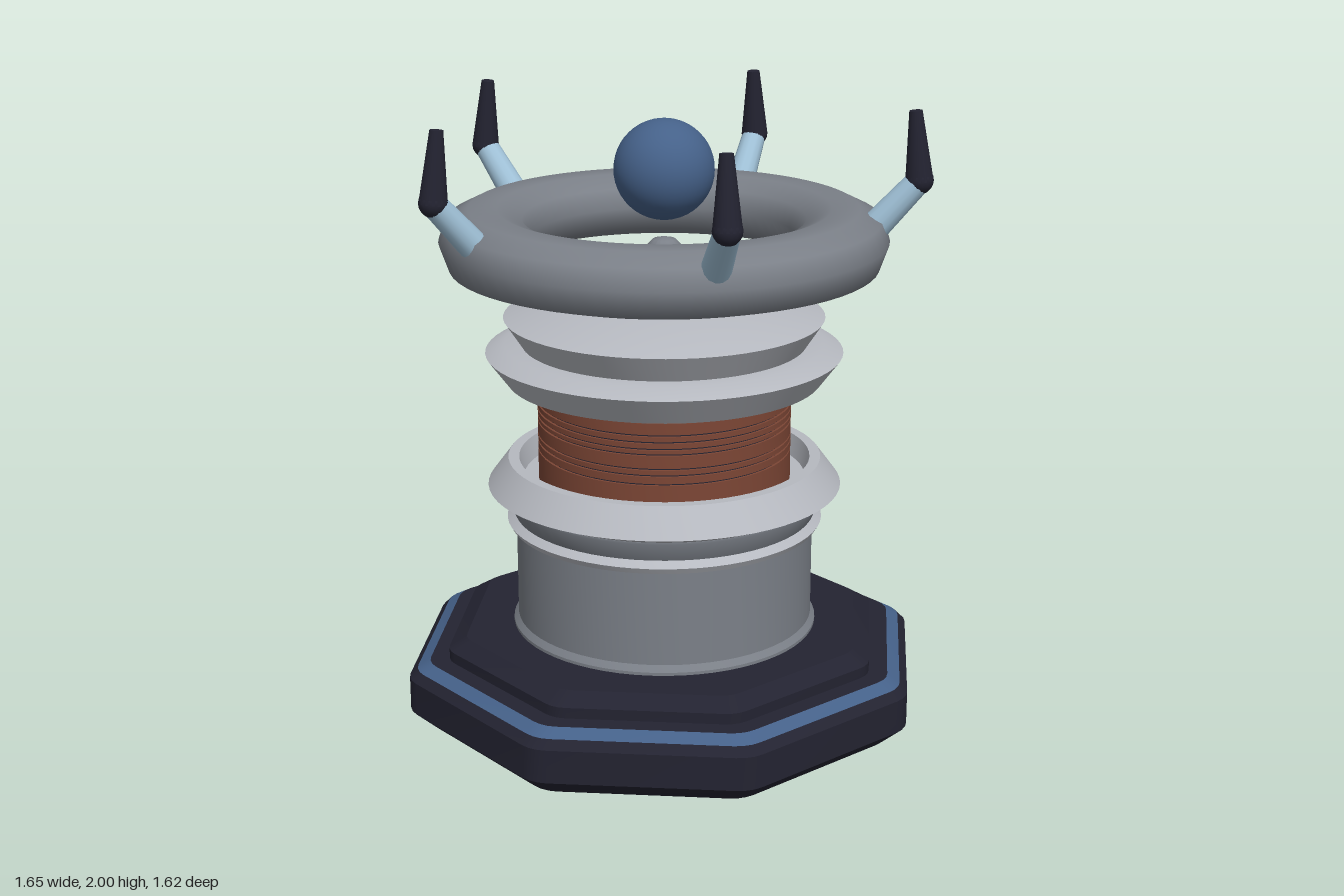
import * as THREE from 'three';
import { toCreasedNormals } from 'three/addons/utils/BufferGeometryUtils.js';

const material = (name, color) => {
  const m = new THREE.MeshStandardMaterial({ color });
  m.name = name;
  return m;
};

export function createModel() {
  const dark = material('dark casing', 0x232331);
  const blue = material('blue', 0x456189);
  const grey = material('grey metal', 0x7b8088);
  const light = material('light metal', 0xb6b9c0);
  const copper = material('copper', 0x7c4635);
  const ice = material('pale blue', 0x9fc0d6);

  const model = new THREE.Group();
  model.name = 'energyPylon';
  const body = new THREE.Group();
  body.name = 'body';
  body.position.x = -0.02;
  model.add(body);

  const add = (name, geometry, mat, parent = body) => {
    const mesh = new THREE.Mesh(geometry, mat);
    mesh.name = name;
    parent.add(mesh);
    return mesh;
  };

  // Turned part; profile runs up the outside as [radius, y]
  const turned = (name, profile, mat, crease = 0.45) => {
    const g = new THREE.LatheGeometry(profile.map(([r, y]) => new THREE.Vector2(r, y)), 64);
    return add(name, toCreasedNormals(g, crease), mat);
  };

  // Octagonal part with rounded corners; profile is [half width, y]
  const octagonal = (name, profile, mat) => {
    const pos = [], index = [], steps = 3, n = 8 * (steps + 1);
    for (const [a, y] of profile) {
      const r = a * 0.14, core = (a - r) / Math.cos(Math.PI / 8);
      for (let c = 0; c < 8; c++) {
        const t = (c + 0.5) * Math.PI / 4;
        for (let s = 0; s <= steps; s++) {
          const u = t + (s / steps - 0.5) * Math.PI / 4;
          pos.push(core * Math.cos(t) + r * Math.cos(u), y, -core * Math.sin(t) - r * Math.sin(u));
        }
      }
    }
    for (let j = 0; j < profile.length - 1; j++) {
      for (let i = 0; i < n; i++) {
        const a = j * n + i, b = j * n + (i + 1) % n;
        index.push(a, b, b + n, a, b + n, a + n);
      }
    }
    const g = new THREE.BufferGeometry();
    g.setAttribute('position', new THREE.Float32BufferAttribute(pos, 3));
    g.setIndex(index);
    return add(name, toCreasedNormals(g, 0.4), mat);
  };

  // Stepped base with a blue trim
  octagonal('base', [[0, 0], [0.745, 0], [0.81, 0.06], [0.81, 0.17], [0.785, 0.197]], dark);
  octagonal('baseTrim', [[0.785, 0.197], [0.745, 0.22]], blue);
  octagonal('baseStep', [[0.745, 0.22], [0.685, 0.22], [0.685, 0.255], [0.63, 0.29], [0, 0.29]], dark);

  // Column and collar
  turned('column', [[0.502, 0.29], [0.502, 0.30], [0.487, 0.32], [0.487, 0.66]], grey);
  turned('collar', [[0.487, 0.635], [0.505, 0.635], [0.517, 0.655], [0.49, 0.675]], light);
  turned('neck', [[0.487, 0.665], [0.495, 0.68], [0.517, 0.735], [0.517, 0.742], [0.44, 0.742]], grey);

  // Facing pair of hollow coil rings
  const lower = [[0.41, 0.742], [0.515, 0.742], [0.577, 0.77], [0.51, 0.86], [0.475, 0.86], [0.46, 0.79], [0.40, 0.79]];
  turned('lowerCoilRing', lower, light);
  turned('upperCoilRing', lower.map(([r, y]) => [r, 1.985 - y]).reverse(), light);

  // Copper winding: bands over a dark core
  turned('coilCore', [[0.404, 0.76], [0.404, 1.23]], dark);
  const edges = [0.77, 0.893, 0.922, 0.943, 0.99, 1.008, 1.03, 1.052, 1.095];
  for (let i = 0; i < edges.length - 1; i++) {
    const y0 = edges[i] + 0.003, y1 = edges[i + 1] - 0.003;
    turned('copperBand', [[0.403, y0], [0.412, y0], [0.412, y1], [0.403, y1]], copper);
  }
  turned('coilCap', [[0.403, 1.098], [0.412, 1.098], [0.412, 1.23]], dark);

  // Top cap and post
  turned('topCap', [[0.40, 1.243], [0.46, 1.243], [0.517, 1.33], [0.275, 1.405], [0.245, 1.405]], light);
  turned('topDisc', [[0.25, 1.405], [0, 1.405]], grey);
  turned('post', [[0.066, 1.40], [0.066, 1.52], [0.058, 1.555], [0.036, 1.578], [0, 1.587]], grey, 0.8);

  // Floating ring
  turned('floatingRing', [
    [0.425, 1.585], [0.45, 1.51], [0.53, 1.475], [0.60, 1.475], [0.685, 1.50], [0.715, 1.585],
    [0.69, 1.65], [0.62, 1.685], [0.53, 1.685], [0.45, 1.65], [0.425, 1.585],
  ], grey, 1.4);

  // Energy sphere
  add('sphere', new THREE.SphereGeometry(0.16, 40, 24), blue).position.y = 1.803;

  // Tapered rod between two points of a claw
  const rod = (name, from, to, r0, r1, mat, parent) => {
    const a = new THREE.Vector3(...from), b = new THREE.Vector3(...to);
    const dir = b.clone().sub(a);
    const mesh = add(name, new THREE.CylinderGeometry(r1, r0, dir.length(), 14), mat, parent);
    mesh.position.copy(a).add(b).multiplyScalar(0.5);
    mesh.quaternion.setFromUnitVectors(new THREE.Vector3(0, 1, 0), dir.normalize());
  };

  // Five claws around the ring
  for (let i = 0; i < 5; i++) {
    const claw = new THREE.Group();
    claw.name = 'claw';
    claw.rotation.y = i * Math.PI * 2 / 5;
    body.add(claw);
    rod('clawArm', [0.665, 1.63, 0], [0.795, 1.775, 0], 0.047, 0.04, ice, claw);
    add('clawJoint', new THREE.SphereGeometry(0.045, 14, 10), dark, claw).position.set(0.8, 1.782, 0);
    rod('clawTip', [0.8, 1.78, 0], [0.782, 2.0, 0], 0.045, 0.021, dark, claw);
  }
  return model;
}
